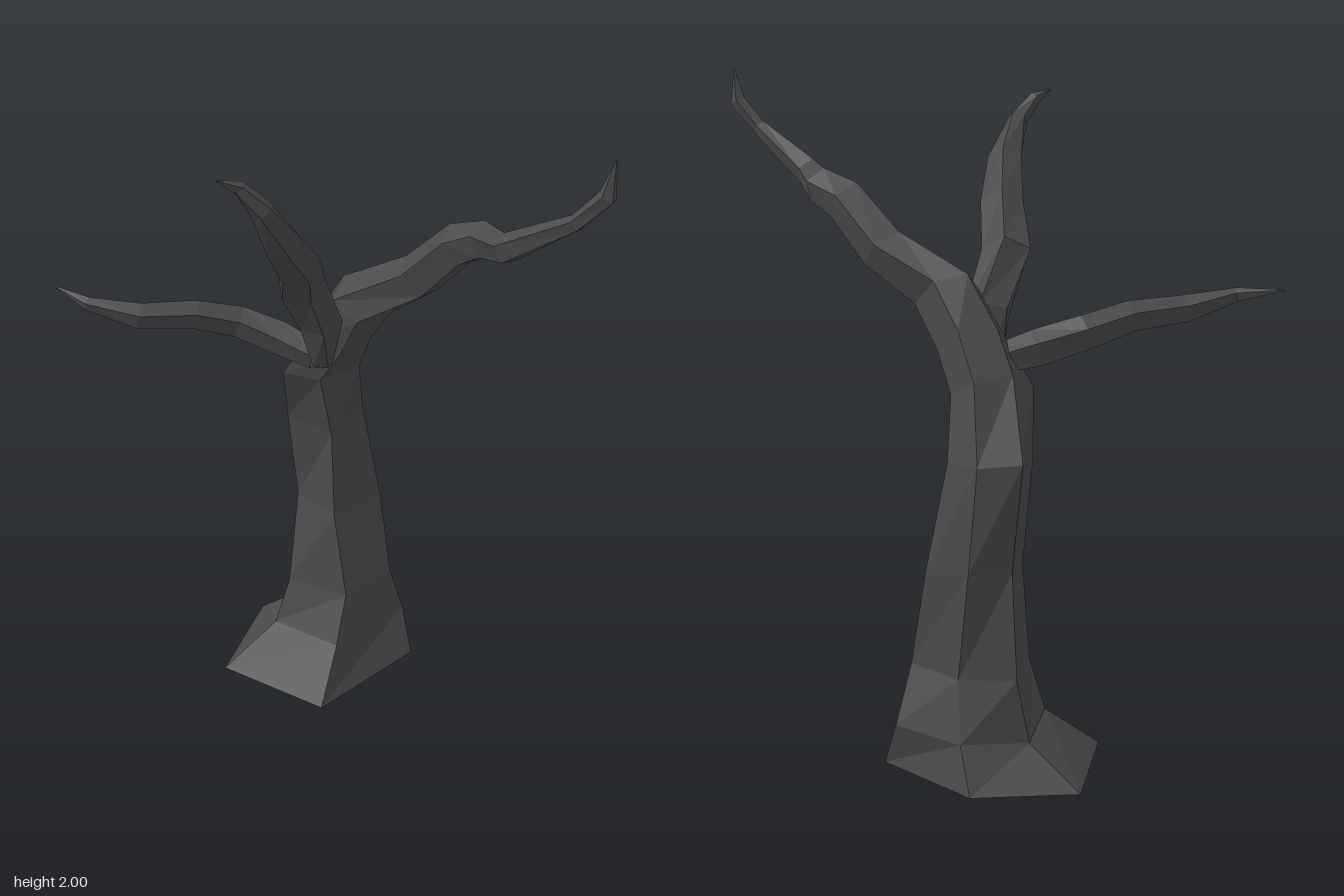
import * as THREE from 'three';

const SIDES = 5;
const bark = new THREE.MeshStandardMaterial({ color: 0x4a4a4a, flatShading: true, side: THREE.DoubleSide });
bark.name = 'dark grey bark';

// Skin a list of five-cornered rings
function skin(name, rings) {
  const pos = rings.flat(2);
  const index = [];
  for (let r = 0; r < rings.length - 1; r++) {
    for (let i = 0; i < SIDES; i++) {
      const j = (i + 1) % SIDES;
      const a = r * SIDES + i, b = r * SIDES + j;
      index.push(a, b, b + SIDES, a, b + SIDES, a + SIDES);
    }
  }
  const geo = new THREE.BufferGeometry();
  geo.setAttribute('position', new THREE.Float32BufferAttribute(pos, 3));
  geo.setIndex(index);
  const flat = geo.toNonIndexed();
  flat.computeVertexNormals();
  const mesh = new THREE.Mesh(flat, bark);
  mesh.name = name;
  return mesh;
}

// Rings square to a path of [x, y, z, radius]; the first corner points upward
function limbRings(path) {
  const pts = path.map(p => new THREE.Vector3(p[0], p[1], p[2]));
  return path.map((p, k) => {
    const dir = pts[Math.min(k + 1, pts.length - 1)].clone().sub(pts[Math.max(k - 1, 0)]).normalize();
    const up = new THREE.Vector3(0, 1, 0).addScaledVector(dir, -dir.y).normalize();
    const side = dir.clone().cross(up);
    return Array.from({ length: SIDES }, (_, i) => {
      const t = i * 2 * Math.PI / SIDES;
      return pts[k].clone()
        .addScaledVector(up, p[3] * Math.cos(t))
        .addScaledVector(side, p[3] * Math.sin(t)).toArray();
    });
  });
}

export function createModel() {
  const tree = new THREE.Group();
  tree.name = 'bareTree';

  // Trunk corners per ring: left, front, right front, right back, back
  const trunk = [
    [[-0.61, 0, -0.2], [-0.38, 0, 0.125], [0, 0, 0], [-0.06, 0, -0.44], [-0.42, 0, -0.44]],
    [[-0.46, 0.12, -0.25], [-0.335, 0.14, -0.06], [-0.06, 0.17, -0.11], [-0.14, 0.14, -0.465], [-0.36, 0.13, -0.42]],
    [[-0.44, 0.3, -0.28], [-0.32, 0.3, -0.11], [-0.1, 0.32, -0.18], [-0.14, 0.31, -0.405], [-0.32, 0.3, -0.39]],
    [[-0.41, 0.6, -0.27], [-0.355, 0.6, -0.175], [-0.165, 0.6, -0.18], [-0.2, 0.58, -0.405], [-0.35, 0.6, -0.38]],
    [[-0.46, 0.91, -0.28], [-0.36, 0.9, -0.14], [-0.205, 0.87, -0.2], [-0.25, 0.9, -0.365], [-0.37, 0.9, -0.365]],
    [[-0.36, 1.14, -0.22], [-0.3, 1.09, -0.08], [-0.2, 1.08, -0.15], [-0.21, 1.08, -0.315], [-0.31, 1.12, -0.32]],
    [[-0.3, 1.26, -0.22], [-0.24, 1.21, -0.12], [-0.14, 1.18, -0.18], [-0.15, 1.2, -0.312], [-0.24, 1.26, -0.315]],
    [[-0.2, 1.41, -0.24], [-0.16, 1.36, -0.16], [-0.07, 1.31, -0.19], [-0.05, 1.32, -0.305], [-0.14, 1.39, -0.315]],
  ];
  // The trunk runs on into the longest branch
  const longBranch = limbRings([
    [0.06, 1.47, -0.32, 0.073], [0.2, 1.605, -0.345, 0.066], [0.3, 1.645, -0.357, 0.056],
    [0.46, 1.685, -0.28, 0.044], [0.69, 1.82, -0.295, 0.024], [0.757, 1.9, -0.33, 0.026],
    [0.775, 2.0, -0.33, 0.002],
  ]);
  tree.add(skin('trunkAndLongBranch', [...trunk, ...longBranch]));

  tree.add(skin('frontBranch', limbRings([
    [-0.19, 1.15, -0.15, 0.04], [-0.165, 1.3, -0.125, 0.068], [-0.14, 1.455, -0.03, 0.075],
    [0, 1.585, 0.085, 0.067], [0.14, 1.72, 0.235, 0.055], [0.185, 1.85, 0.335, 0.032],
    [0.165, 1.915, 0.39, 0.02], [0.155, 1.943, 0.452, 0.002],
  ])));

  tree.add(skin('leftBranch', limbRings([
    [-0.22, 1.16, -0.15, 0.045], [-0.33, 1.2, -0.09, 0.057], [-0.425, 1.245, 0, 0.052],
    [-0.475, 1.285, 0.13, 0.047], [-0.54, 1.3, 0.29, 0.042], [-0.635, 1.34, 0.41, 0.022],
    [-0.775, 1.36, 0.445, 0.002],
  ])));

  return tree;
}
